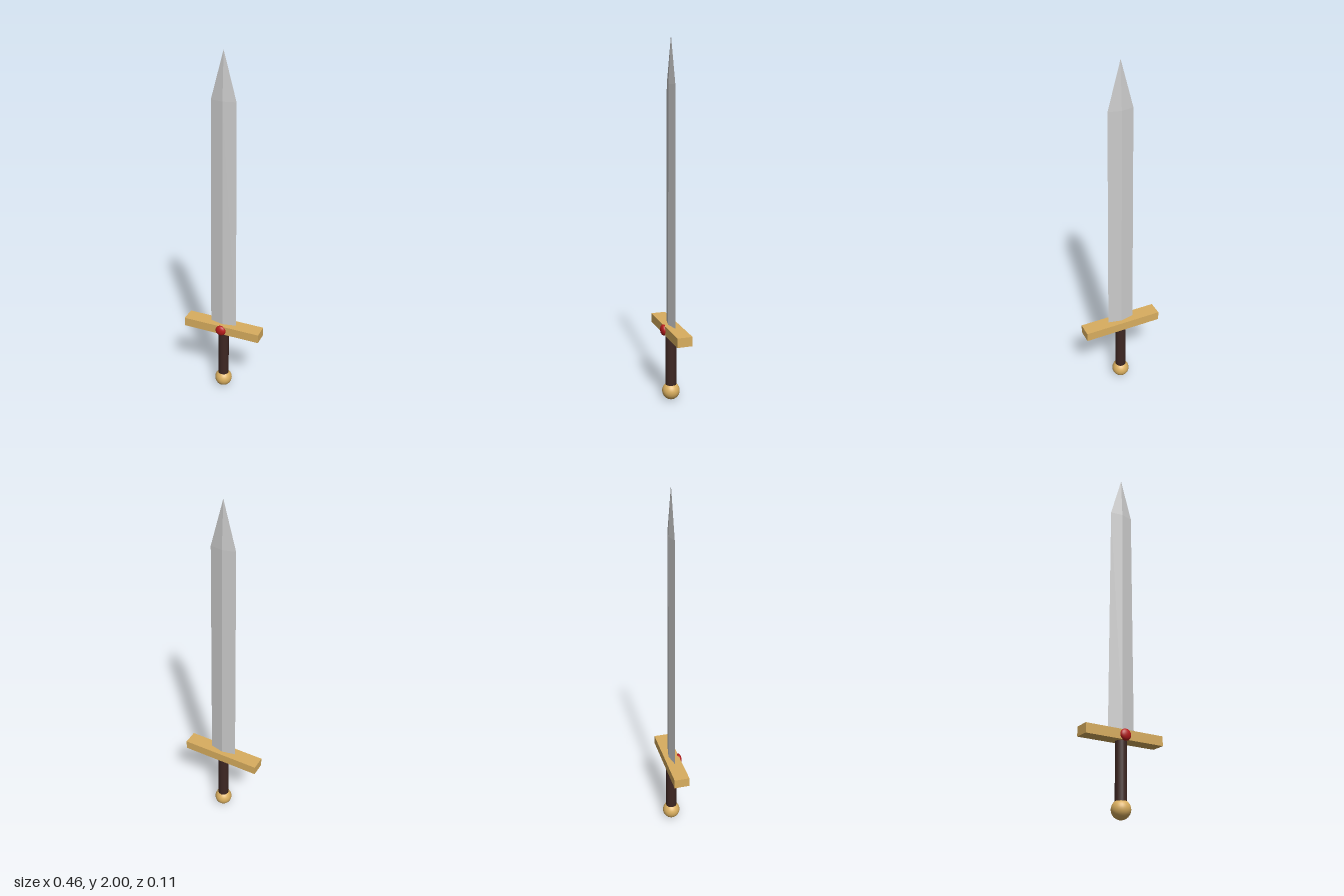
import * as THREE from 'three';

export function createModel() {
  const sword = new THREE.Group();
  sword.name = 'sword';
  const axisZ = -0.007; // centre line of blade, guard and grip

  const steel = new THREE.MeshStandardMaterial({ color: 0xcccccc, flatShading: true });
  const gold = new THREE.MeshStandardMaterial({ color: 0xd9ae5f });
  const leather = new THREE.MeshStandardMaterial({ color: 0x3e2723 });
  const ruby = new THREE.MeshStandardMaterial({ color: 0xb71c1c });

  function add(name, geometry, material, y, z = axisZ) {
    const mesh = new THREE.Mesh(geometry, material);
    mesh.name = name;
    mesh.position.set(0, y, z);
    sword.add(mesh);
    return mesh;
  }

  // Blade: four-sided diamond section, slight taper, then a point
  const profile = [[0, 0.43], [0.078, 0.43], [0.069, 1.75], [0, 2]]
    .map(([r, y]) => new THREE.Vector2(r, y));
  const blade = add('blade', new THREE.LatheGeometry(profile, 4), steel, 0);
  blade.scale.z = 0.21;

  // Crossguard
  add('crossguard', new THREE.BoxGeometry(0.458, 0.052, 0.085), gold, 0.414);

  // Grip and pommel
  add('grip', new THREE.CylinderGeometry(0.031, 0.031, 0.32, 16), leather, 0.24);
  add('pommel', new THREE.SphereGeometry(0.05, 32, 16), gold, 0.05);

  // Flattened gem on the front of the guard
  const gem = add('gem', new THREE.SphereGeometry(0.031, 24, 16), ruby, 0.413, 0.037);
  gem.scale.z = 0.55;

  return sword;
}
